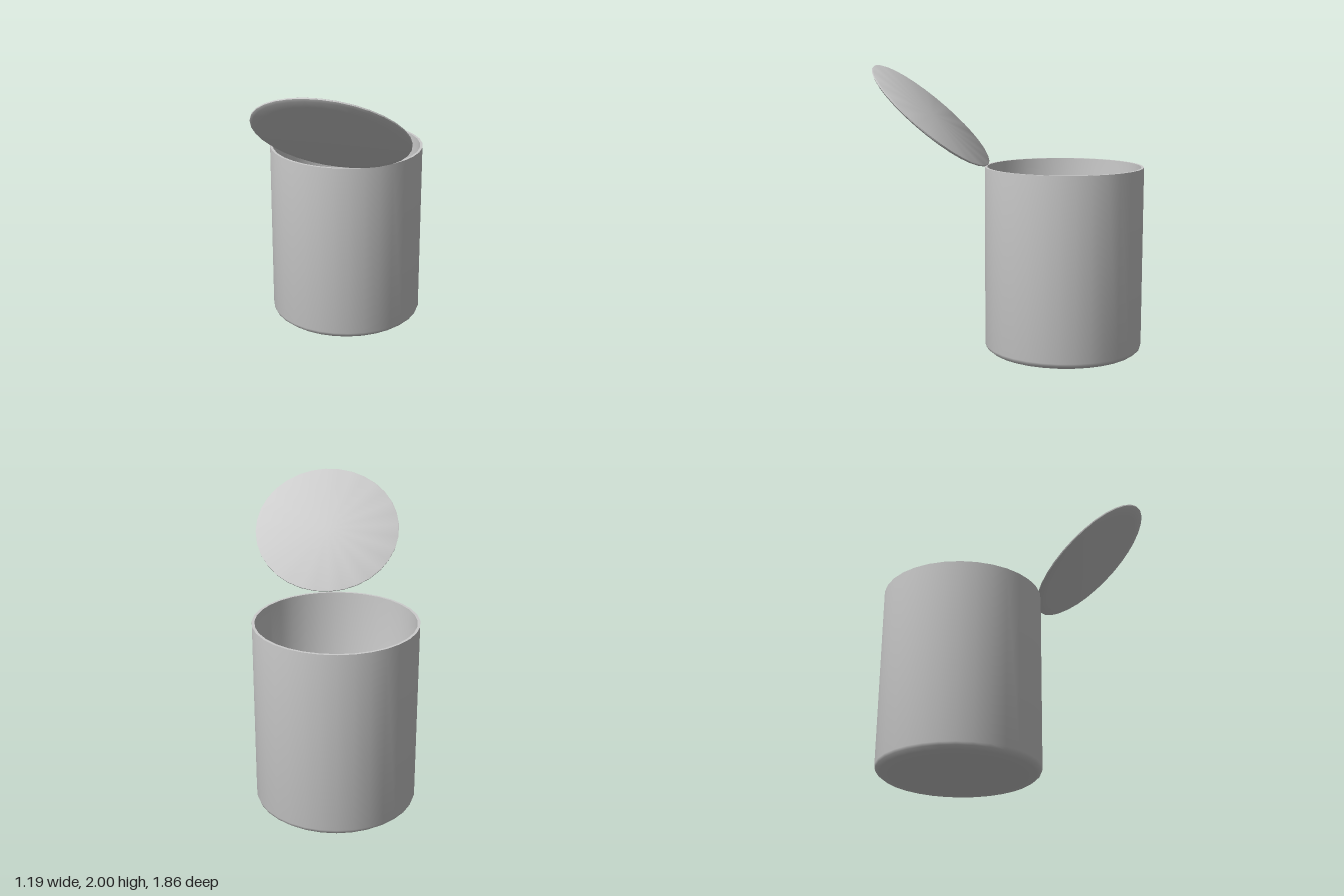
import * as THREE from 'three';
import { toCreasedNormals } from 'three/addons/utils/BufferGeometryUtils.js';

const material = new THREE.MeshStandardMaterial({ color: 0xcccccc });

// Turned part from a profile of [radius, height] pairs; sharp rims stay crisp
function turned(name, profile) {
  const points = profile.map(([r, y]) => new THREE.Vector2(r, y));
  const geometry = toCreasedNormals(new THREE.LatheGeometry(points, 32), 0.9);
  const mesh = new THREE.Mesh(geometry, material);
  mesh.name = name;
  return mesh;
}

export function createModel() {
  const model = new THREE.Group();
  model.name = 'openCan';

  // Hollow body: bevelled base, straight wall, thin rim, inner wall and floor
  const body = turned('canBody', [
    [0, 0], [0.44, 0.004], [0.52, 0.015], [0.545, 0.035], [0.552, 0.055],
    [0.552, 1.31], [0.534, 1.31],
    [0.534, 0.07], [0.525, 0.045], [0.5, 0.032], [0, 0.025],
  ]);
  body.position.set(0.043, 0, -0.385);
  model.add(body);

  // Thin lid, bevelled underneath, tipped up from the front of the rim
  const lid = turned('lid', [
    [0, -0.015], [0.44, -0.013], [0.5, -0.007], [0.518, 0.003],
    [0.519, 0.011], [0.512, 0.015], [0, 0.015],
  ]);
  const lidNormal = new THREE.Vector3(0.18, 0.752, -0.633).normalize();
  lid.quaternion.setFromUnitVectors(new THREE.Vector3(0, 1, 0), lidNormal);
  lid.position.set(-0.085, 1.655, 0.53);
  model.add(lid);

  return model;
}
